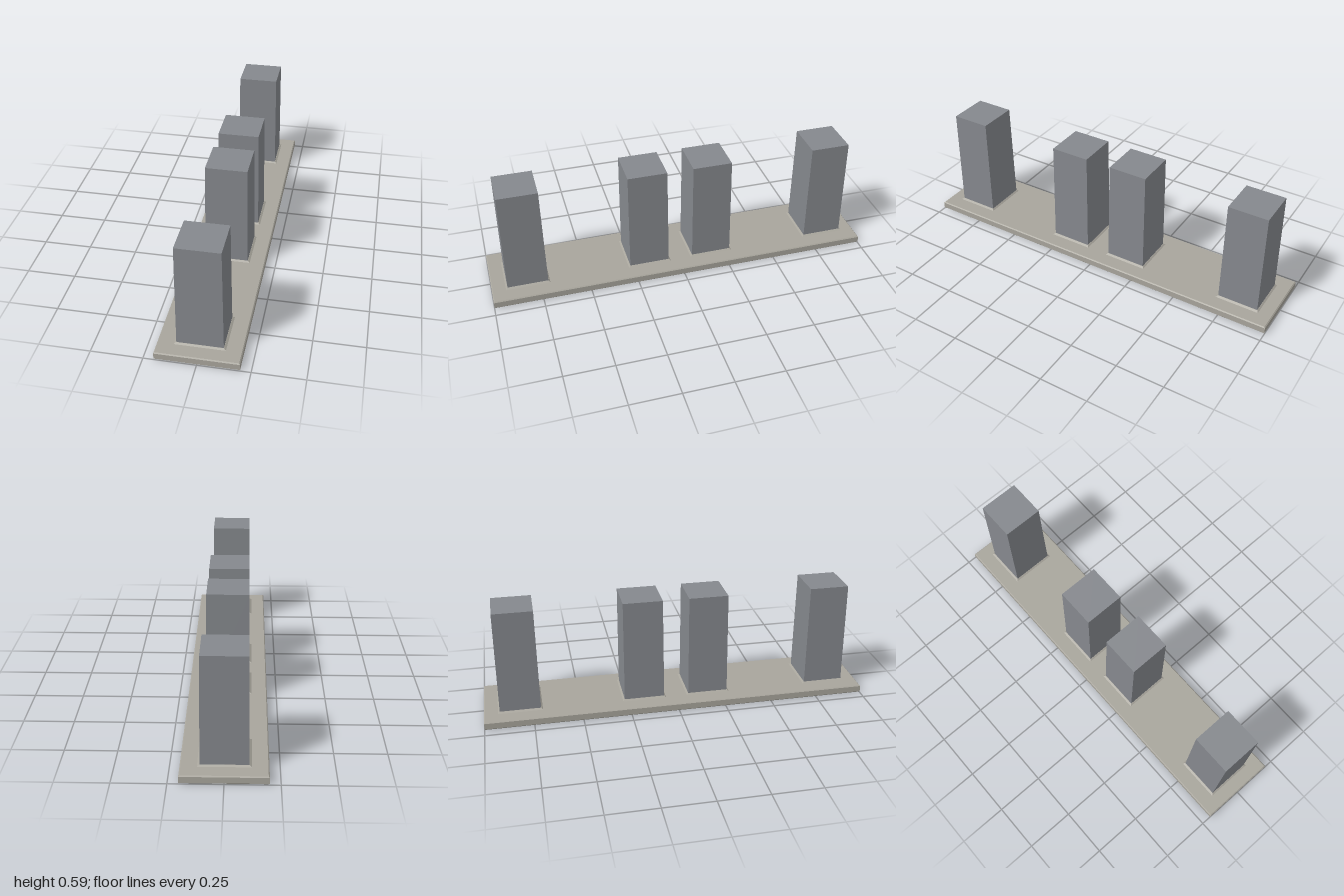
import * as THREE from 'three';

const plateMaterial = new THREE.MeshStandardMaterial({ color: 0xa8a59c, flatShading: true });
const postMaterial = new THREE.MeshStandardMaterial({ color: 0x85888d, flatShading: true });

// Stacked rectangles: each level is [y, half width, half depth], bottom to top.
function stack(name, levels, material) {
  const n = levels.length - 1;
  const box = new THREE.BoxGeometry(2, n, 2, 1, n, 1);
  const p = box.attributes.position;
  for (let i = 0; i < p.count; i++) {
    const [y, hx, hz] = levels[Math.round(p.getY(i) + n / 2)];
    p.setXYZ(i, p.getX(i) * hx, y, p.getZ(i) * hz);
  }
  const geometry = box.toNonIndexed();
  geometry.computeVertexNormals();
  const mesh = new THREE.Mesh(geometry, material);
  mesh.name = name;
  return mesh;
}

export function createModel() {
  const model = new THREE.Group();
  model.name = 'postsOnPlate';

  // Long flat plate with small chamfers
  model.add(stack('basePlate', [
    [0, 0.194, 0.994], [0.006, 0.2, 1], [0.037, 0.2, 1], [0.042, 0.195, 0.995],
  ], plateMaterial));

  // Four slightly tapered posts, each rising from a low collar
  for (const z of [-0.815, -0.17, 0.17, 0.815]) {
    const unit = new THREE.Group();
    unit.name = 'postUnit';
    unit.position.z = z;
    unit.add(stack('collar', [
      [0.04, 0.122, 0.114], [0.042, 0.122, 0.114], [0.049, 0.112, 0.106],
    ], plateMaterial));
    unit.add(stack('post', [[0.042, 0.111, 0.105], [0.588, 0.105, 0.102]], postMaterial));
    model.add(unit);
  }
  return model;
}
